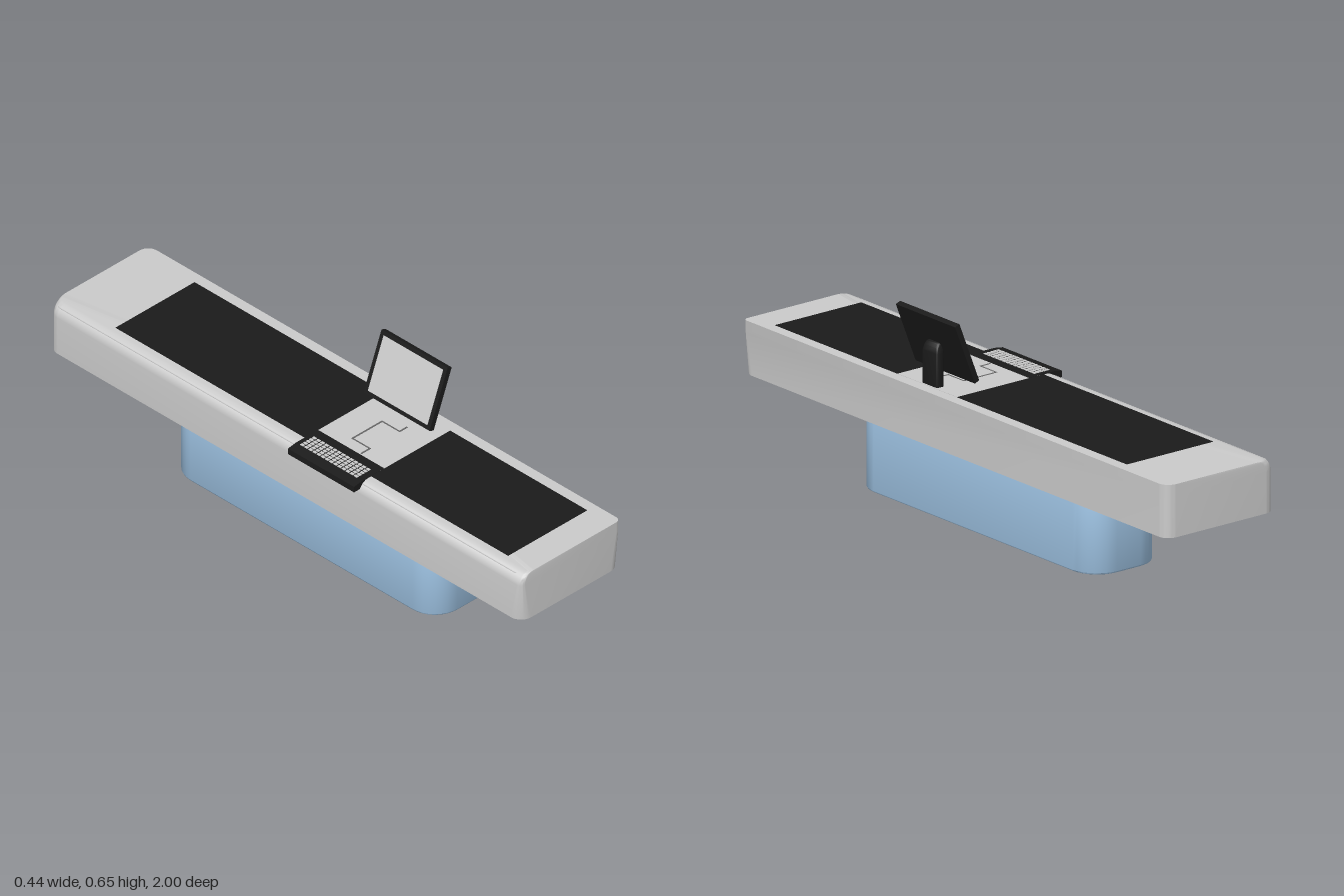
import * as THREE from 'three';
import { toCreasedNormals } from 'three/addons/utils/BufferGeometryUtils.js';

const mat = (color) => new THREE.MeshStandardMaterial({ color, side: THREE.DoubleSide });

// Perimeter of a rounded rectangle in the x-z plane; rf and rb are the front and back corner radii
function outline({ x0, x1, z0, z1, rf, rb, y }, steps = 8) {
  const pts = [];
  const corners = [
    [x1 - rf, z1 - rf, rf], [x0 + rf, z1 - rf, rf], [x0 + rb, z0 + rb, rb], [x1 - rb, z0 + rb, rb],
  ];
  corners.forEach(([cx, cz, r], i) => {
    for (let k = 0; k <= steps; k++) {
      const a = (i + k / steps) * Math.PI / 2;
      pts.push([cx + r * Math.cos(a), y, cz + r * Math.sin(a)]);
    }
  });
  return pts;
}

// Skin a stack of rounded rectangles and close both ends
function loft(rings) {
  const loops = rings.map((ring) => outline(ring));
  const n = loops[0].length;
  const pos = loops.flat(2);
  const index = [];
  for (let j = 0; j < loops.length - 1; j++) {
    for (let i = 0; i < n; i++) {
      const a = j * n + i, b = j * n + (i + 1) % n;
      index.push(a, a + n, b, b, a + n, b + n);
    }
  }
  const cap = (j, top) => {
    const { x0, x1, z0, z1, y } = rings[j];
    const c = pos.length / 3;
    pos.push((x0 + x1) / 2, y, (z0 + z1) / 2);
    for (let i = 0; i < n; i++) {
      const a = j * n + i, b = j * n + (i + 1) % n;
      index.push(c, top ? b : a, top ? a : b);
    }
  };
  cap(rings.length - 1, true);
  cap(0, false);
  const g = new THREE.BufferGeometry();
  g.setAttribute('position', new THREE.Float32BufferAttribute(pos, 3));
  g.setIndex(index);
  return toCreasedNormals(g, 0.7);
}

export function createModel() {
  const model = new THREE.Group();
  model.name = 'checkoutCounter';
  const grey = mat(0xcccccc), black = mat(0x1b1b1b), blue = mat(0xa9d0f2), dark = mat(0x666666);

  const add = (name, geometry, material, parent = model) => {
    const mesh = new THREE.Mesh(geometry, material);
    mesh.name = name;
    parent.add(mesh);
    return mesh;
  };
  // Box given by its limits
  const block = (name, x0, x1, y0, y1, z0, z1, material, parent) => {
    const m = add(name, new THREE.BoxGeometry(x1 - x0, y1 - y0, z1 - z0), material, parent);
    m.position.set((x0 + x1) / 2, (y0 + y1) / 2, (z0 + z1) / 2);
  };

  // Pedestal with broad vertical corners and a small bottom rounding
  const foot = (y, d) => ({
    x0: -0.13 + d, x1: 0.15 - d, z0: -0.565 + d, z1: 0.565 - d, rf: 0.095 - d, rb: 0.095 - d, y,
  });
  add('pedestal', loft([foot(0, 0.006), foot(0.002, 0.002), foot(0.006, 0), foot(0.258, 0)]), blue);

  // Hollow counter: inner wall, bottom rim, outer wall, rounded cashier-side top edge.
  // The front corners get sharper towards the top.
  const wall = 0.012;
  const inner = (y) => ({
    x0: -0.2 + wall, x1: 0.22 - wall, z0: -1 + wall, z1: 1 - wall, rf: 0.03, rb: 0.025, y,
  });
  const shell = (y, d, rf) => ({ x0: -0.2 + d, x1: 0.22, z0: -1, z1: 1, rf, rb: 0.037, y });
  const shellRings = [inner(0.415), inner(0.255), shell(0.255, 0, 0.042)];
  for (let i = 0; i <= 6; i++) {
    const a = (i / 6) * Math.PI / 2;
    shellRings.push(shell(0.385 + 0.038 * Math.sin(a), 0.036 * (1 - Math.cos(a)), 0.018));
  }
  add('counterShell', loft(shellRings), grey);

  // Conveyor belts and the scanning plate between them
  block('rearBelt', -0.15, 0.183, 0.4232, 0.424, -0.767, 0.035, black);
  block('frontBelt', -0.15, 0.183, 0.4232, 0.424, 0.315, 0.895, black);
  block('scannerPlate', -0.15, 0.183, 0.4232, 0.4242, 0.035, 0.315, grey);

  // Thin groove outline of the scanner window
  block('scannerGrooveBack', -0.055, 0.075, 0.4235, 0.4248, 0.135, 0.141, dark);
  for (const x of [-0.055, 0.07]) {
    block('scannerGrooveSide', x, x + 0.005, 0.4235, 0.4248, 0.135, 0.215, dark);
  }
  for (const x of [-0.09, 0.07]) {
    block('scannerGrooveTab', x, x + 0.035, 0.4235, 0.4248, 0.209, 0.215, dark);
  }

  // Keyboard overhanging the cashier's edge
  const board = new THREE.Shape([
    [-0.222, 0.4], [-0.195, 0.4], [-0.18, 0.412], [-0.095, 0.42],
    [-0.095, 0.425], [-0.19, 0.425], [-0.222, 0.42],
  ].map(([x, y]) => new THREE.Vector2(x, y)));
  const keyboard = new THREE.Group();
  keyboard.name = 'keyboard';
  model.add(keyboard);
  const boardMesh = add('keyboardBody',
    new THREE.ExtrudeGeometry(board, { depth: 0.28, bevelEnabled: false }), black, keyboard);
  boardMesh.position.z = 0.035;
  for (let i = 0; i < 5; i++) {
    for (let j = 0; j < 14; j++) {
      const x = -0.188 + i * 0.0125, z = 0.052 + j * 0.0175;
      block('key', x, x + 0.009, 0.4245, 0.427, z, z + 0.013, grey, keyboard);
    }
  }

  // Monitor stand, its top curving towards the screen
  const post = (y, x1, d) => ({
    x0: 0.15, x1, z0: 0.135 + d, z1: 0.208 - d, rf: 0.006, rb: 0.006, y,
  });
  add('monitorStand', loft([
    post(0.42, 0.178, 0), post(0.53, 0.178, 0.001), post(0.547, 0.174, 0.004),
    post(0.557, 0.168, 0.008), post(0.561, 0.163, 0.013),
  ]), black);

  // Tilted monitor facing the cashier
  const monitor = new THREE.Group();
  monitor.name = 'monitor';
  monitor.position.set(0.148, 0.554, 0.17);
  monitor.rotation.z = -0.375;
  model.add(monitor);
  block('monitorCase', -0.009, 0.009, -0.104, 0.104, -0.14, 0.14, black, monitor);
  block('monitorScreen', -0.0098, -0.008, -0.091, 0.091, -0.126, 0.126, grey, monitor);

  return model;
}
